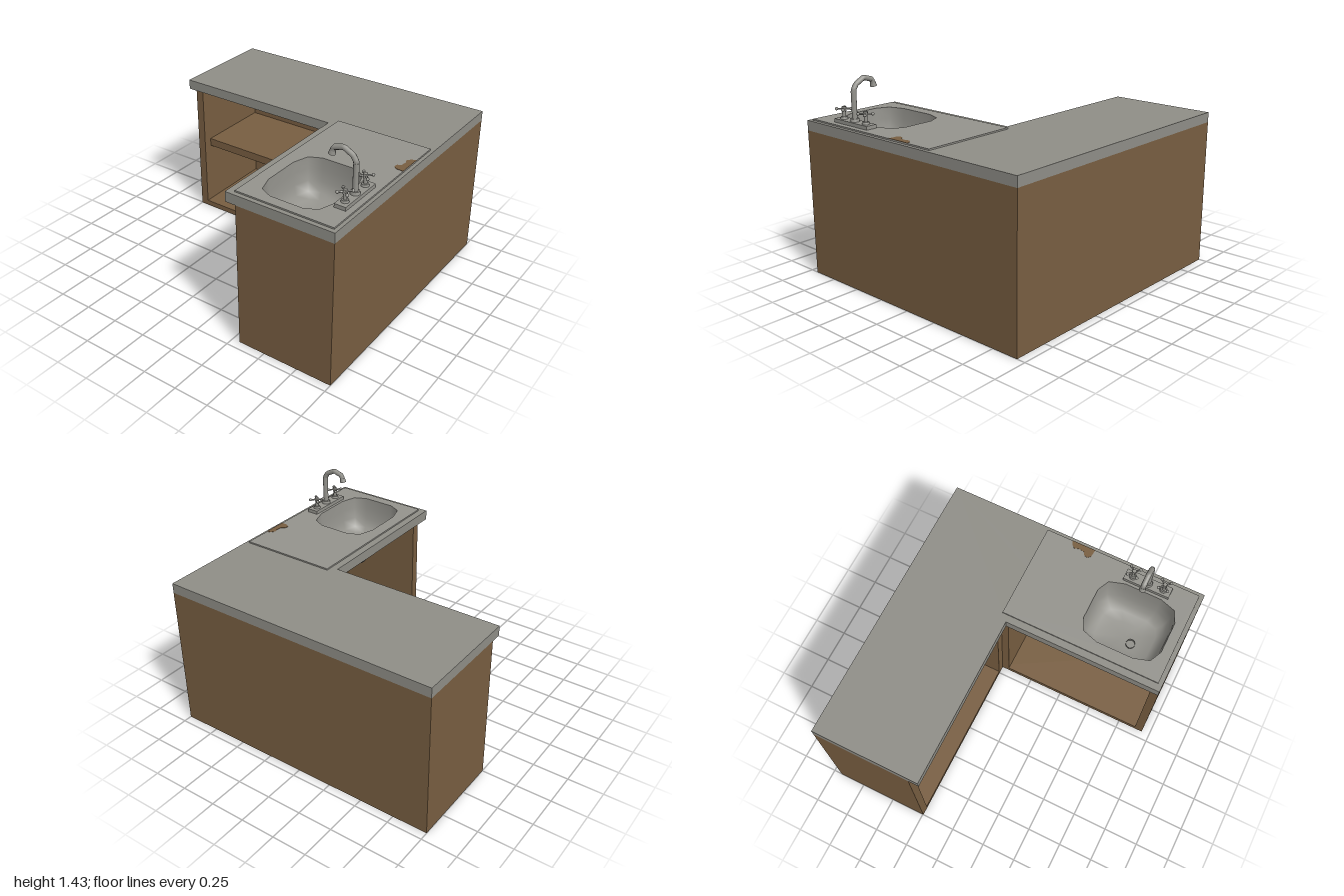
import * as THREE from 'three';

const material = (name, color, side = THREE.FrontSide) => {
  const m = new THREE.MeshStandardMaterial({ color, side });
  m.name = name;
  return m;
};

export function createModel() {
  const wood = material('brown wood', 0x785e41);
  const stone = material('grey worktop', 0x8f8e87);
  const metal = material('sink metal', 0x94938d, THREE.DoubleSide);

  const model = new THREE.Group();
  model.name = 'cornerSinkCabinet';

  const add = (name, geometry, mat, parent = model) => {
    const mesh = new THREE.Mesh(geometry, mat);
    mesh.name = name;
    parent.add(mesh);
    return mesh;
  };
  // Box given by its limits on each axis
  const box = (name, x0, x1, y0, y1, z0, z1, mat, parent) => {
    const g = new THREE.BoxGeometry(x1 - x0, y1 - y0, z1 - z0);
    g.translate((x0 + x1) / 2, (y0 + y1) / 2, (z0 + z1) / 2);
    return add(name, g, mat, parent);
  };
  // Flat slab from an x/z outline, with optional holes
  const toPoints = (pts) => pts.map(([x, z]) => new THREE.Vector2(x, -z));
  const slab = (name, outline, y0, y1, mat, hole) => {
    const shape = new THREE.Shape(toPoints(outline));
    if (hole) shape.holes.push(new THREE.Path(toPoints(hole)));
    const g = new THREE.ExtrudeGeometry(shape, { depth: y1 - y0, bevelEnabled: false });
    g.rotateX(-Math.PI / 2).translate(0, y0, 0);
    return add(name, g, mat);
  };
  const lShape = (x, z) => [[-0.94, 1], [0.94, 1], [0.94, -1], [x, -1], [x, z], [-0.94, z]];

  // Cabinet carcass, open towards the inner corner
  const floorY = 0.04, topY = 1.03;
  slab('cabinetFloor', lShape(0.245, 0.305), 0, floorY, wood);
  const panel = (name, x0, x1, z0, z1) => box(name, x0, x1, floorY, topY, z0, z1, wood);
  panel('frontPanel', -0.94, 0.94, 0.94, 1);
  panel('sinkEndPanel', -0.94, -0.88, 0.305, 0.94);
  panel('sinkPartition', 0.19, 0.245, 0.305, 0.94);
  panel('outerSidePanel', 0.88, 0.94, -1, 0.94);
  panel('wingEndPanel', 0.245, 0.88, -1, -0.94);
  panel('wingPartition', 0.245, 0.88, 0.245, 0.305);
  box('shelf', 0.31, 0.88, 0.51, 0.57, -0.94, 0.245, wood);

  // Basin rim: a rounded rectangle with chamfered corners, mirrored in x and z
  const cx = -0.56, cz = 0.6;
  const quarter = [[0.28, 0.115], [0.24, 0.2], [0.13, 0.235]];
  const flipped = [...quarter].reverse();
  const rim = [
    ...quarter,
    ...flipped.map(([x, z]) => [-x, z]),
    ...quarter.map(([x, z]) => [-x, -z]),
    ...flipped.map(([x, z]) => [x, -z]),
  ];
  const rimAt = (s) => rim.map(([x, z]) => [cx + x * s, cz + z * s]);

  // Worktop and sink plate
  slab('worktop', lShape(0.17, 0.23), topY, 1.1, stone, rimAt(1.01));
  slab('sinkPlate', [[-0.91, 0.28], [0.22, 0.28], [0.22, 0.975], [-0.91, 0.975]],
    1.1, 1.11, metal, rimAt(1));
  slab('brownPatch', [[-0.14, 0.975], [-0.135, 0.92], [-0.115, 0.9], [-0.09, 0.905], [-0.075, 0.93],
    [-0.035, 0.935], [-0.005, 0.925], [0.02, 0.945], [0.03, 0.975]], 1.11, 1.112, wood);

  // Basin lofted through shrinking rings, closed at the bottom centre
  const rings = [[1, 1.109], [0.985, 1.03], [0.95, 0.95], [0.86, 0.885], [0.7, 0.855], [0.4, 0.84]];
  const pos = [], index = [], n = rim.length;
  for (const [s, y] of rings) for (const [x, z] of rimAt(s)) pos.push(x, y, z);
  pos.push(cx, 0.835, cz);
  for (let r = 0; r < rings.length; r++) {
    for (let i = 0; i < n; i++) {
      const a = r * n + i, b = r * n + (i + 1) % n;
      if (r === rings.length - 1) index.push(a, b, rings.length * n);
      else index.push(a, b, b + n, a, b + n, a + n);
    }
  }
  const basin = new THREE.BufferGeometry();
  basin.setAttribute('position', new THREE.Float32BufferAttribute(pos, 3));
  basin.setIndex(index);
  basin.computeVertexNormals();
  add('basin', basin, metal);

  // Tube along straight segments with gentle bends
  const pipe = (name, pts, radius, sides, parent) => {
    const curve = new THREE.CatmullRomCurve3(
      pts.map((p) => new THREE.Vector3(...p)), false, 'centripetal');
    return add(name, new THREE.TubeGeometry(curve, 24, radius, sides), metal, parent);
  };
  const px = -0.62;
  pipe('drainPipe', [[px, 0.86, 0.56], [px, 0.76, 0.575], [px, 0.7, 0.63], [px, 0.66, 0.74],
    [px, 0.61, 0.91]], 0.032, 12);
  const cap = add('drainPipeEnd', new THREE.SphereGeometry(0.032, 12, 8), metal);
  cap.position.set(px, 0.61, 0.91);

  // Tap: base plate, column, swan neck and nozzle
  const tap = new THREE.Group();
  tap.name = 'tap';
  model.add(tap);
  const tx = -0.565, tz = 0.895;
  const cylinder = (name, r0, r1, y0, y1, x, z, parent = tap) => {
    const m = add(name, new THREE.CylinderGeometry(r1, r0, y1 - y0, 12), metal, parent);
    m.position.set(x, (y0 + y1) / 2, z);
    return m;
  };
  box('tapBase', -0.73, -0.4, 1.11, 1.135, 0.855, 0.935, metal, tap);
  cylinder('columnCollar', 0.032, 0.028, 1.135, 1.155, tx, tz);
  cylinder('column', 0.018, 0.018, 1.15, 1.335, tx, tz);
  const neck = new THREE.CurvePath();
  const corners = [[1.32, 0.895], [1.345, 0.893], [1.378, 0.872], [1.412, 0.808], [1.392, 0.742],
    [1.36, 0.732]].map(([y, z]) => new THREE.Vector3(tx, y, z));
  for (let i = 1; i < corners.length; i++) neck.add(new THREE.LineCurve3(corners[i - 1], corners[i]));
  add('swanNeck', new THREE.TubeGeometry(neck, 20, 0.018, 10), metal, tap);
  const nozzle = cylinder('nozzle', 0.023, 0.018, 1.344, 1.372, tx, 0.731);
  nozzle.rotation.x = 0.2;

  // Cross handles on either side
  for (const side of [-1, 1]) {
    const handle = new THREE.Group();
    handle.name = side < 0 ? 'rightHandle' : 'leftHandle';
    handle.position.set(tx + side * 0.111, 0, tz);
    tap.add(handle);
    cylinder('handleCollar', 0.026, 0.022, 1.135, 1.15, 0, 0, handle);
    cylinder('handlePost', 0.012, 0.012, 1.15, 1.2, 0, 0, handle);
    cylinder('handleHub', 0.016, 0.014, 1.187, 1.217, 0, 0, handle);
    for (let i = 0; i < 4; i++) {
      const a = Math.PI / 4 + i * Math.PI / 2;
      const arm = add('handleArm', new THREE.CylinderGeometry(0.006, 0.006, 0.045, 8), metal, handle);
      arm.geometry.rotateZ(Math.PI / 2).translate(0.023, 0, 0);
      arm.position.y = 1.202;
      arm.rotation.y = a;
      const knob = add('handleKnob', new THREE.SphereGeometry(0.011, 8, 6), metal, handle);
      knob.position.set(Math.cos(a) * 0.047, 1.202, -Math.sin(a) * 0.047);
    }
  }

  return model;
}
